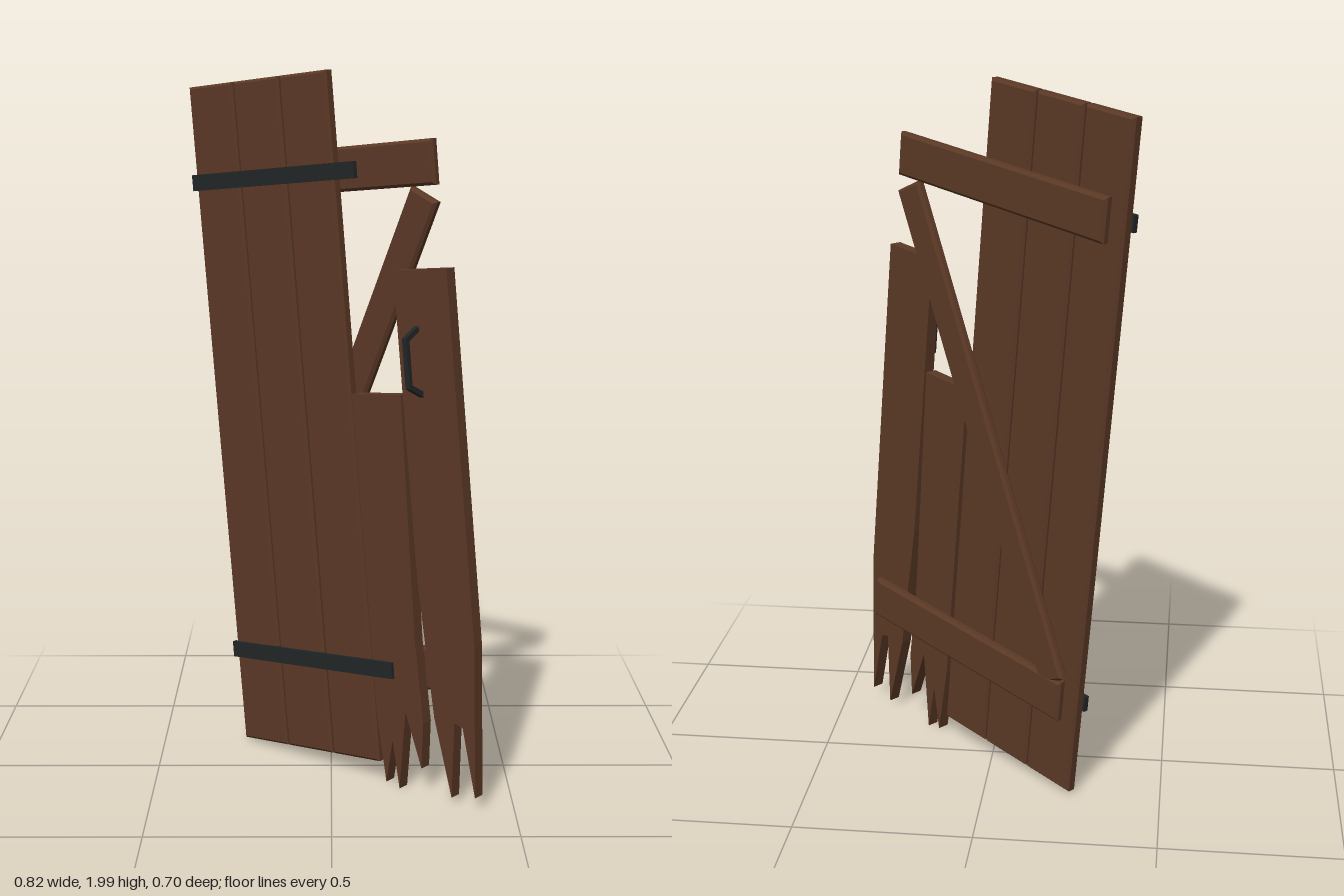
import * as THREE from 'three';

const wood = new THREE.MeshStandardMaterial({ name: 'brown wood', color: 0x5a3825 });
const iron = new THREE.MeshStandardMaterial({ name: 'black iron', color: 0x222527 });

// Board cut from an outline, lying between depths back and front, with optional chamfer
function board(name, points, back, front, bevel, material = wood) {
  const shape = new THREE.Shape(points.map(([x, y]) => new THREE.Vector2(x, y)));
  const geometry = new THREE.ExtrudeGeometry(shape, {
    depth: front - back - 2 * bevel,
    bevelEnabled: bevel > 0,
    bevelSize: bevel,
    bevelThickness: bevel,
    bevelOffset: -bevel,
    bevelSegments: 1,
  });
  geometry.translate(0, 0, back + bevel);
  const mesh = new THREE.Mesh(geometry, material);
  mesh.name = name;
  return mesh;
}

const rect = (x0, x1, y0, y1) => [[x0, y0], [x1, y0], [x1, y1], [x0, y1]];

// Straight square bar joining two points
function bar(name, a, b, size) {
  const from = new THREE.Vector3(...a), to = new THREE.Vector3(...b);
  const mesh = new THREE.Mesh(new THREE.BoxGeometry(size, from.distanceTo(to) + size * 0.6, size), iron);
  mesh.position.copy(from).add(to).multiplyScalar(0.5);
  mesh.quaternion.setFromUnitVectors(new THREE.Vector3(0, 1, 0), to.sub(from).normalize());
  mesh.name = name;
  return mesh;
}

export function createModel() {
  const model = new THREE.Group();
  model.name = 'brokenDoor';
  const door = new THREE.Group();
  door.name = 'doorLeaf';
  model.add(door);

  const back = -0.026, front = 0.009;

  // Three whole planks
  for (let i = 0; i < 3; i++) {
    const x = -0.329 + i * 0.174;
    door.add(board('wholePlank', rect(x, x + 0.169, 0.054, 1.99), back, front, 0.007));
  }

  // Two snapped planks with splintered lower ends
  door.add(board('innerBrokenPlank', [
    [0.195, 1.107], [0.196, 0.2], [0.212, 0.0], [0.246, 0.125], [0.258, -0.013],
    [0.3, 0.215], [0.342, 0.058], [0.36, 0.19], [0.352, 0.42], [0.366, 1.107],
  ].reverse(), back, front, 0));
  door.add(board('outerBrokenPlank', [
    [0.371, 1.443], [0.376, 0.6], [0.4, 0.212], [0.44, -0.011], [0.468, 0.205],
    [0.495, 0.195], [0.52, 0.0], [0.554, 0.425], [0.549, 1.443],
  ].reverse(), back, front, 0));

  // Cross braces on the back
  for (const [name, y] of [['upperBrace', 1.721], ['lowerBrace', 0.336]]) {
    door.add(board(name, rect(-0.287, 0.503, y - 0.061, y + 0.061), -0.056, back, 0.008));
  }

  // Diagonal brace
  const a = new THREE.Vector2(-0.25, 0.385), b = new THREE.Vector2(0.462, 1.638);
  const half = a.distanceTo(b) / 2;
  const diagonal = board('diagonalBrace', rect(-half, half, -0.048, 0.048), -0.055, back, 0.008);
  diagonal.position.set((a.x + b.x) / 2, (a.y + b.y) / 2, 0);
  diagonal.rotation.z = Math.atan2(b.y - a.y, b.x - a.x);
  door.add(diagonal);

  // Iron hinge straps on the front
  for (const [name, y] of [['upperHingeStrap', 1.717], ['lowerHingeStrap', 0.331]]) {
    door.add(board(name, rect(-0.334, 0.27, y - 0.023, y + 0.023), front - 0.004, 0.019, 0, iron));
  }

  // Bent pull handle
  const handle = new THREE.Group();
  handle.name = 'handle';
  const path = [[0.437, 1.287, 0.006], [0.437, 1.262, 0.06], [0.437, 1.135, 0.06], [0.437, 1.108, 0.006]];
  for (let i = 0; i < 3; i++) handle.add(bar('handleBar', path[i], path[i + 1], 0.014));
  door.add(handle);

  // Sagging in its plane and swung partly open
  door.rotation.set(0, THREE.MathUtils.degToRad(-40), THREE.MathUtils.degToRad(5.85));
  return model;
}
